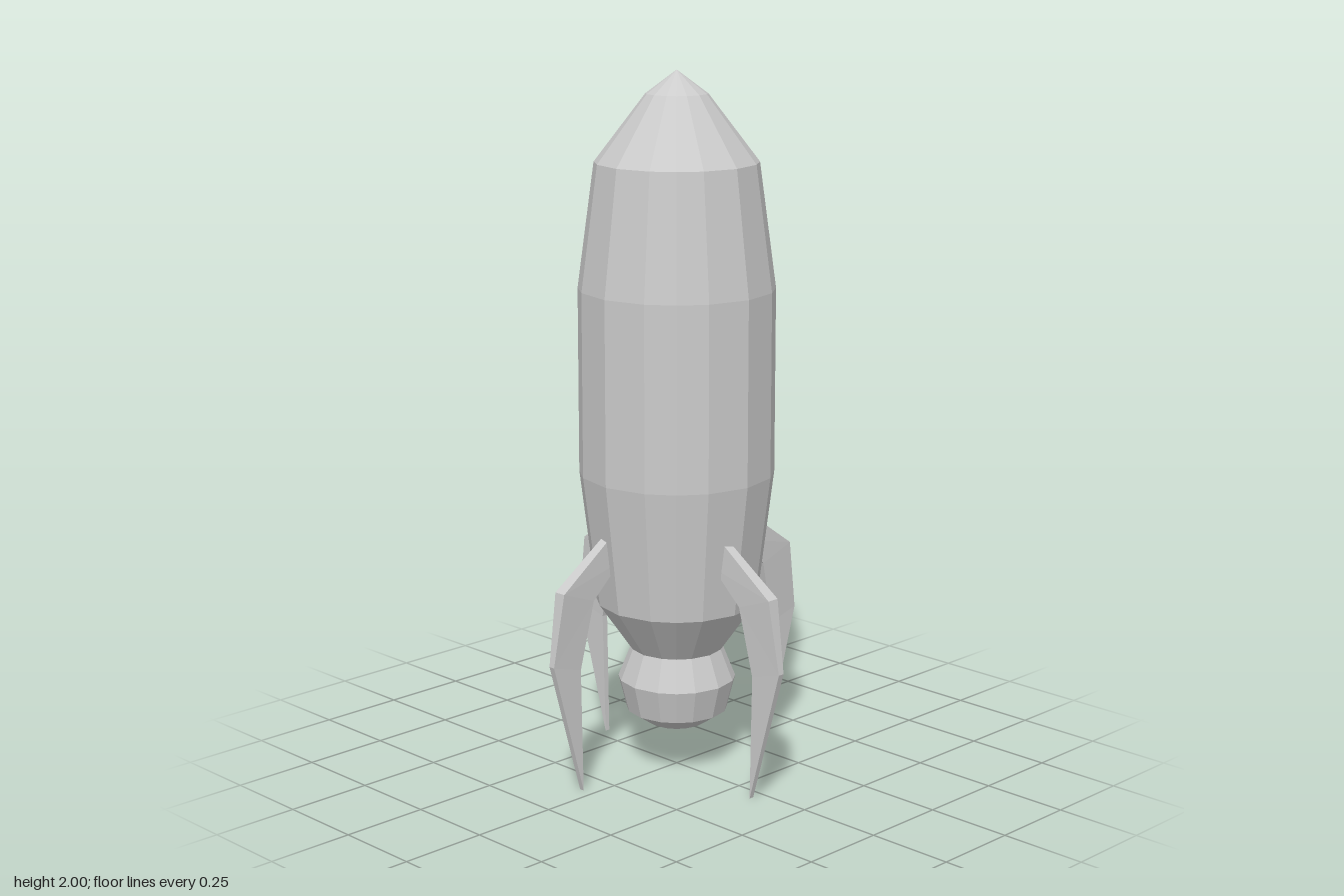
import * as THREE from 'three';

const material = new THREE.MeshStandardMaterial({ color: 0xcccccc, flatShading: true });

function makeMesh(name, geometry) {
  const flat = geometry.index ? geometry.toNonIndexed() : geometry;
  flat.computeVertexNormals();
  const mesh = new THREE.Mesh(flat, material);
  mesh.name = name;
  return mesh;
}

function lathe(profile, sides) {
  return new THREE.LatheGeometry(profile.map(([r, y]) => new THREE.Vector2(r, y)), sides);
}

// Sixteen-sided hull; every second edge line is shifted slightly toward the diagonals
function hullGeometry(profile) {
  const geometry = lathe(profile, 16);
  const p = geometry.attributes.position;
  for (let i = 0; i < p.count; i++) {
    const r = Math.hypot(p.getX(i), p.getZ(i));
    const a = Math.atan2(p.getX(i), p.getZ(i));
    const b = a + 0.071 * Math.sin(4 * a);
    p.setX(i, r * Math.sin(b));
    p.setZ(i, r * Math.cos(b));
  }
  return geometry;
}

// Hooked landing fin, with a thickness that varies with height
function finGeometry() {
  const outline = [
    [0.2, 0.744], [0.412, 0.595], [0.445, 0.389], [0.337, 0],
    [0.345, 0.36], [0.3, 0.553], [0.2, 0.645],
  ];
  const thickness = [[0, 0.015], [0.389, 0.019], [0.595, 0.036], [0.744, 0.027]];
  const thicknessAt = (y) => {
    for (let i = 1; i < thickness.length; i++) {
      const [y0, t0] = thickness[i - 1];
      const [y1, t1] = thickness[i];
      if (y <= y1) return THREE.MathUtils.mapLinear(y, y0, y1, t0, t1);
    }
    return thickness[thickness.length - 1][1];
  };
  const shape = new THREE.Shape(outline.map(([x, y]) => new THREE.Vector2(x, y)));
  const geometry = new THREE.ExtrudeGeometry(shape, { depth: 1, bevelEnabled: false });
  const p = geometry.attributes.position;
  for (let i = 0; i < p.count; i++) {
    p.setZ(i, (p.getZ(i) - 0.5) * thicknessAt(p.getY(i)) + 0.041);
  }
  return geometry;
}

export function createModel() {
  const rocket = new THREE.Group();
  rocket.name = 'rocket';

  // Hull with pointed nose, tapering to the nozzle neck
  rocket.add(makeMesh('hull', hullGeometry([
    [0.132, 0.36], [0.229, 0.5], [0.275, 0.877], [0.275, 1.4],
    [0.228, 1.75], [0.086, 1.936], [0, 2],
  ])));

  // Bulbous engine nozzle, closed below
  rocket.add(makeMesh('nozzle', hullGeometry([
    [0, 0.135], [0.083, 0.135], [0.144, 0.175], [0.168, 0.27], [0.132, 0.36],
  ])));

  // Four fins, each set a little to one side of its axis
  for (let i = 0; i < 4; i++) {
    const fin = makeMesh('fin' + (i + 1), finGeometry());
    fin.rotation.y = (i * Math.PI) / 2;
    rocket.add(fin);
  }

  // Round porthole on the back: raised rim around a shallow dish
  const porthole = makeMesh('porthole', lathe([
    [0.071, -0.06], [0.072, -0.005], [0.069, 0], [0.062, 0], [0.059, -0.006], [0, -0.019],
  ], 16));
  porthole.position.set(0.012, 1.548, -0.278);
  porthole.rotation.x = THREE.MathUtils.degToRad(-80);
  rocket.add(porthole);

  return rocket;
}
